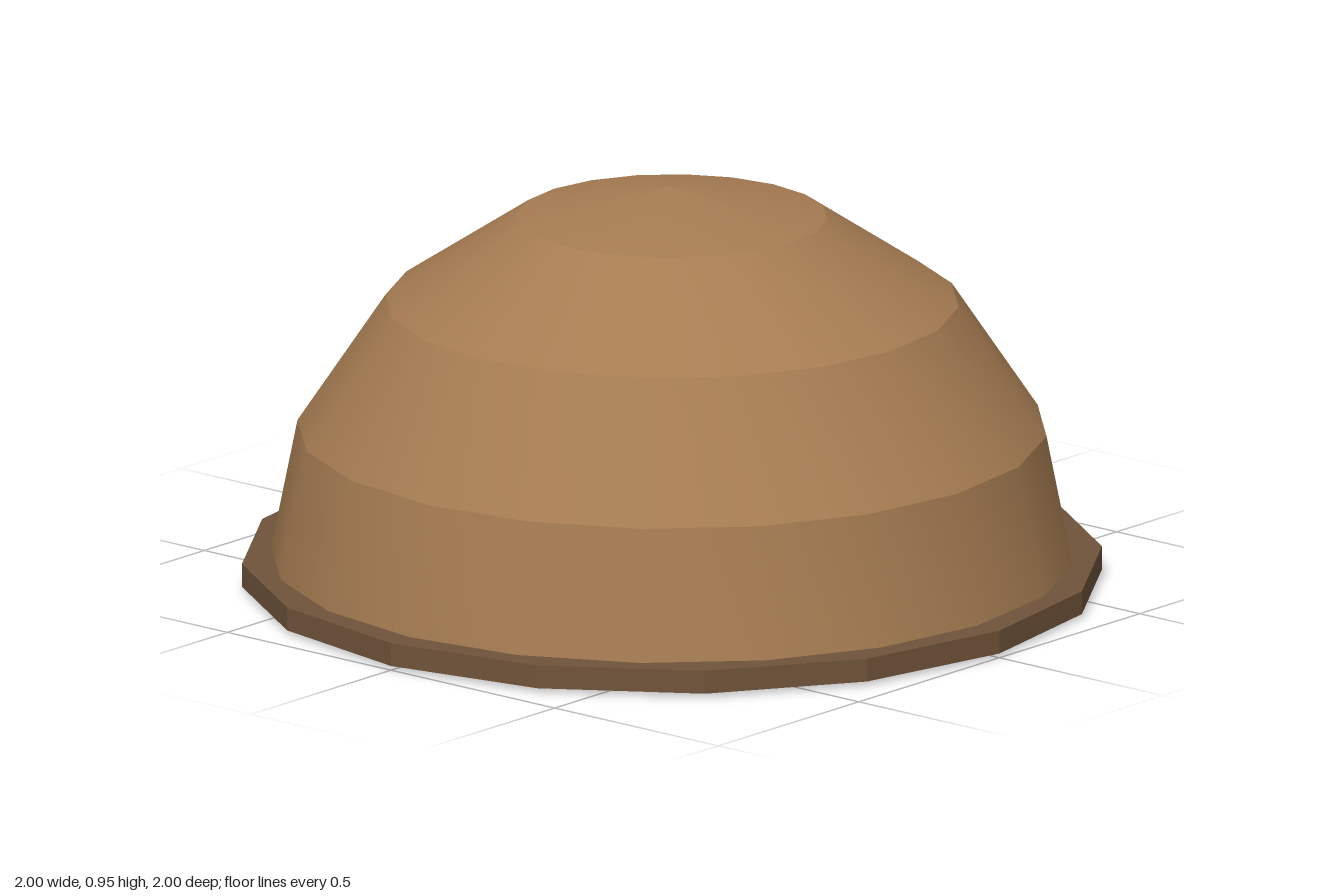
import * as THREE from 'three';
import { toCreasedNormals } from 'three/addons/utils/BufferGeometryUtils.js';

const DOME_RADIUS = 0.943;
const RIM_BOTTOM = 0.01;
const RIM_HEIGHT = 0.055;

export function createModel() {
  const model = new THREE.Group();
  model.name = 'dome';

  const clay = new THREE.MeshStandardMaterial({ color: 0xa67c52 });
  clay.name = 'light brown';
  const darkClay = new THREE.MeshStandardMaterial({ color: 0x70543a });
  darkClay.name = 'dark brown';

  const add = (name, geometry, material, y) => {
    const mesh = new THREE.Mesh(geometry, material);
    mesh.name = name;
    mesh.position.y = y;
    model.add(mesh);
    return mesh;
  };

  // Hemisphere in four bands: smooth around, creased between bands
  const hemisphere = new THREE.SphereGeometry(DOME_RADIUS, 20, 4, 0, Math.PI * 2, 0, Math.PI / 2);
  add('domeShell', toCreasedNormals(hemisphere, THREE.MathUtils.degToRad(20)), clay, RIM_BOTTOM);

  // Faceted sixteen-sided rim
  const rim = toCreasedNormals(new THREE.CylinderGeometry(1, 1, RIM_HEIGHT, 16), 0.1);
  add('rim', rim, darkClay, RIM_BOTTOM + RIM_HEIGHT / 2);

  // Underside disc, facing down
  const disc = new THREE.CircleGeometry(DOME_RADIUS, 20).rotateX(Math.PI / 2);
  add('underside', disc, clay, 0);

  return model;
}
